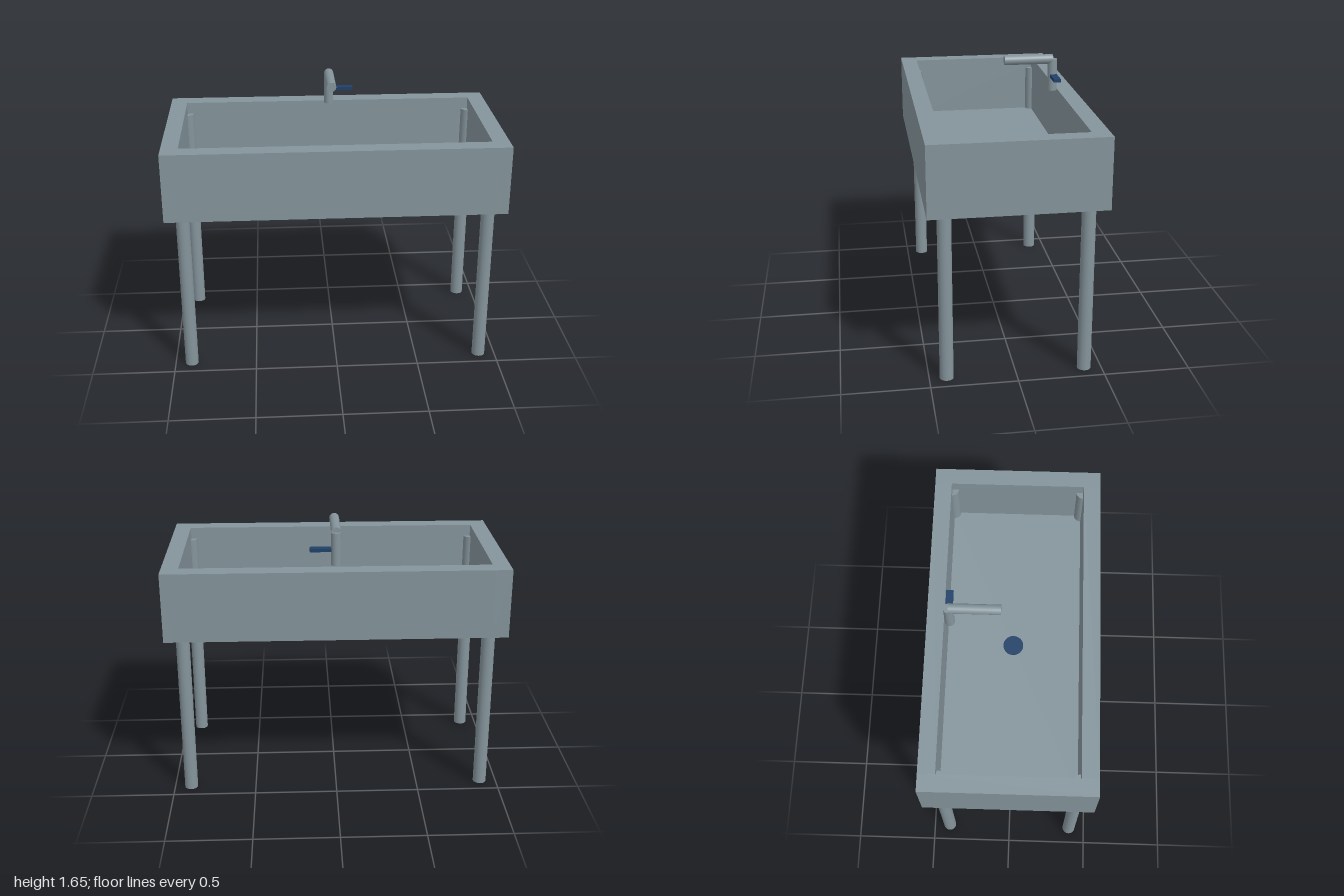
import * as THREE from 'three';

export function createModel() {
  const model = new THREE.Group();
  model.name = 'washBasin';
  const steel = new THREE.MeshStandardMaterial({ name: 'greySteel', color: 0x84949b });
  const navy = new THREE.MeshStandardMaterial({ name: 'navyBlue', color: 0x1f4068 });

  const add = (name, geometry, material, x, y, z) => {
    const mesh = new THREE.Mesh(geometry, material);
    mesh.name = name;
    mesh.position.set(x, y, z);
    model.add(mesh);
    return mesh;
  };
  const box = (w, h, d) => new THREE.BoxGeometry(w, h, d);
  const rod = (r, h) => new THREE.CylinderGeometry(r, r, h, 32);

  // Basin: floor framed by four thick walls
  const bottom = 1.012, top = 1.427;
  const wallHeight = top - bottom, wallY = (top + bottom) / 2;
  add('basinFloor', box(1.8, 0.05, 0.8), steel, 0, bottom + 0.025, 0);
  for (const s of [-1, 1]) {
    add(s > 0 ? 'leftWall' : 'rightWall', box(0.1, wallHeight, 1), steel, s * 0.95, wallY, 0);
    add(s > 0 ? 'frontWall' : 'backWall', box(1.8, wallHeight, 0.1), steel, 0, wallY, s * 0.45);
  }

  // Legs run up through the floor into the basin corners
  const legHeight = 1.355;
  for (const x of [-0.9, 0.9]) {
    for (const z of [-0.4, 0.4]) {
      add(z > 0 ? 'frontLeg' : 'backLeg', rod(0.04, legHeight), steel, x, legHeight / 2, z);
    }
  }

  // Drain
  add('drain', rod(0.06, 0.01), navy, 0, bottom + 0.054, 0);

  // Tap: upright, spout towards the front, lever to the left
  const tapZ = -0.365;
  add('tapColumn', rod(0.029, 0.193), steel, 0, top + 0.0965, tapZ);
  const spout = add('tapSpout', rod(0.029, 0.297), steel, 0, 1.62, -0.2165);
  spout.rotation.x = Math.PI / 2;
  add('tapLever', box(0.125, 0.02, 0.042), navy, 0.0885, 1.52, tapZ - 0.002);

  return model;
}
